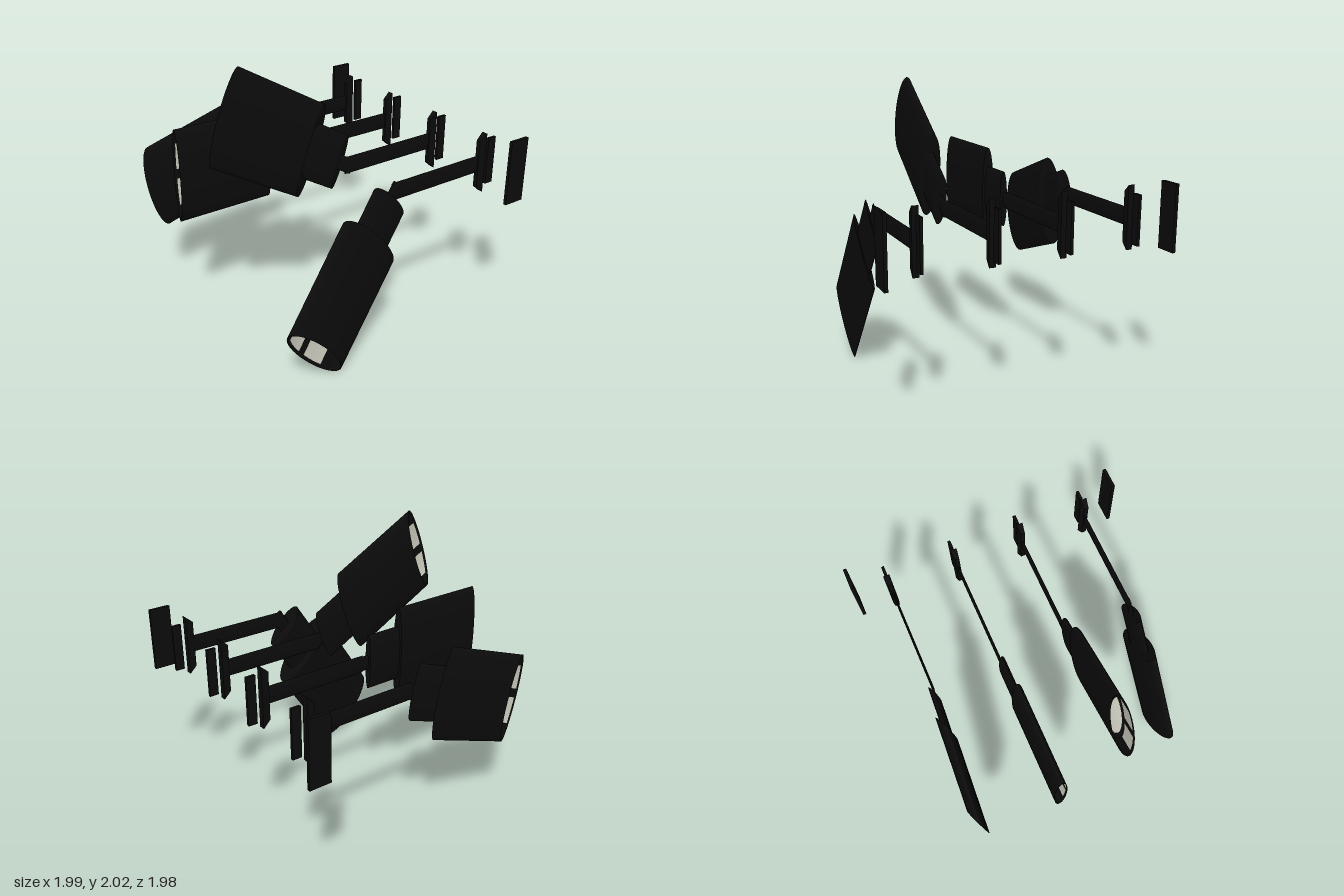
import * as THREE from 'three';
import { toCreasedNormals } from 'three/addons/utils/BufferGeometryUtils.js';

const black = new THREE.MeshStandardMaterial({ color: 0x0c0c0c });
const pale = new THREE.MeshStandardMaterial({ color: 0xd2d2c4, side: THREE.DoubleSide });

const SX = 0.134, SZ = 0.79; // the whole row is squeezed along x and z
const AXIS_Y = 1.172;
const PIVOT_Z = -0.05;

function add(parent, name, geometry, material = black) {
  const mesh = new THREE.Mesh(geometry, material);
  mesh.name = name;
  parent.add(mesh);
  return mesh;
}

// Turned solid along +z from [radius, z] points
function turned(points, segments = 48) {
  const lathe = new THREE.LatheGeometry(points.map(([r, z]) => new THREE.Vector2(r, z)), segments);
  return toCreasedNormals(lathe.rotateX(Math.PI / 2), 0.6);
}

// Box whose front (+z) face is smaller than its back face
function taperedBox(w, h, d, frontW, frontH) {
  const g = new THREE.BoxGeometry(w, h, d);
  const p = g.attributes.position;
  for (let i = 0; i < p.count; i++) {
    if (p.getZ(i) > 0) p.setXY(i, p.getX(i) * frontW / w, p.getY(i) * frontH / h);
  }
  const flat = g.toNonIndexed();
  flat.computeVertexNormals();
  return flat;
}

// Swivelling lamp head, pivot at the origin, facing +z
function lampHead() {
  const head = new THREE.Group();
  head.name = 'lampHead';
  add(head, 'knuckle', turned([[0, -0.05], [0.055, -0.05], [0.055, 0.1], [0, 0.1]], 20));
  add(head, 'neck', turned([[0, 0.088], [0.2, 0.088], [0.2, 0.43], [0, 0.43]]));
  add(head, 'shade', turned([
    [0, 0.417], [0.335, 0.417], [0.335, 1.303], [0.32, 1.303], [0.32, 1.1], [0, 1.1],
  ], 64));
  // Domed lens deep inside the shade
  add(head, 'lens', turned([[0.262, 1.1], [0.25, 1.112], [0.14, 1.118], [0, 1.12]]), pale);
  // Pale reflector panels on both sides of the inner wall
  for (const side of [1, -1]) {
    for (const offset of [-0.45, 0.45]) {
      const arc = 0.68;
      const start = side * Math.PI / 2 + offset - arc / 2;
      const panel = new THREE.CylinderGeometry(0.316, 0.316, 0.16, 12, 1, true, start, arc);
      add(head, 'reflectorPanel', panel.rotateX(Math.PI / 2).translate(0, 0, 1.2), pale);
    }
  }
  return head;
}

// One spotlight: wall bracket, arm and a head aimed along dir
function spotlight(x, dir) {
  const spot = new THREE.Group();
  spot.name = 'spotlight';
  spot.position.set(x, AXIS_Y, 0);

  add(spot, 'backPlate', new THREE.BoxGeometry(0.02, 0.34, 0.065)).position.z = -0.903;
  add(spot, 'bracket', taperedBox(0.045, 0.435, 0.055, 0.032, 0.34)).position.z = -0.808;

  const arm = add(spot, 'arm', turned([[0, -1], [0.0625, -1], [0.0625, 0], [0, 0]], 24));
  arm.scale.set(SX, 1, 0.79 + PIVOT_Z + 0.02);
  arm.position.z = PIVOT_Z + 0.02;

  const squeeze = new THREE.Group();
  squeeze.name = 'headMount';
  squeeze.position.z = PIVOT_Z;
  squeeze.scale.set(SX, 1, SZ);
  const head = lampHead();
  const d = new THREE.Vector3(...dir).normalize();
  head.rotation.order = 'YXZ';
  head.rotation.set(-Math.asin(d.y), Math.atan2(d.x, d.z), 0);
  squeeze.add(head);
  spot.add(squeeze);
  return spot;
}

export function createModel() {
  const model = new THREE.Group();
  model.name = 'spotlightRow';

  const aims = [
    [-0.74, [-0.36, -0.245, 0.9]],
    [-0.245, [0, 0, 1]],
    [0.253, [-0.283, 0.404, 0.87]],
    [0.748, [0.25, -0.736, 0.628]],
  ];
  for (const [x, dir] of aims) model.add(spotlight(x, dir));

  // End caps of the wall rail
  for (const x of [-0.985, 0.982]) {
    add(model, 'endCap', new THREE.BoxGeometry(0.023, 0.46, 0.153)).position.set(x, AXIS_Y, -0.913);
  }
  return model;
}
